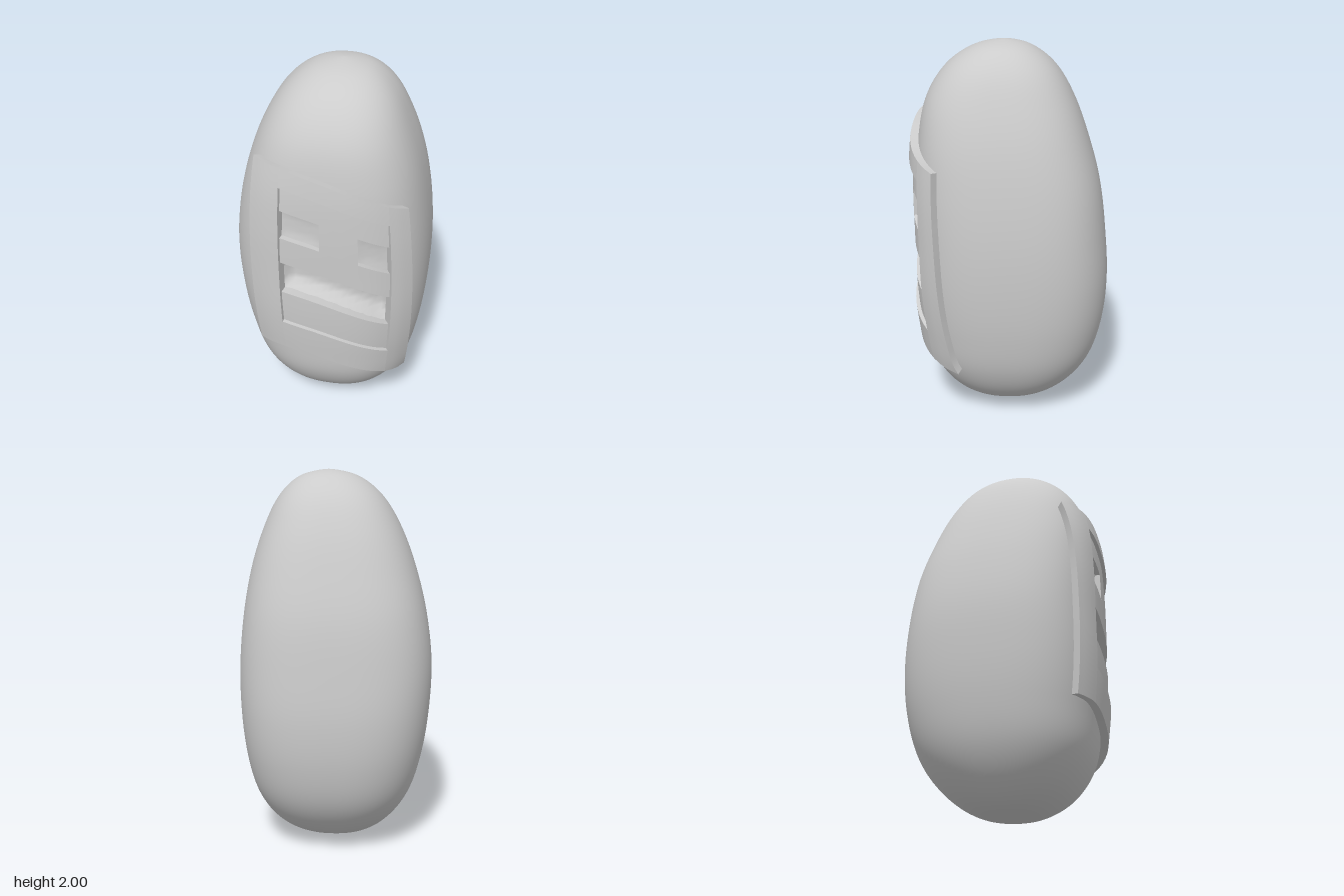
import * as THREE from 'three';
import { mergeGeometries } from 'three/addons/utils/BufferGeometryUtils.js';

const grey = () => new THREE.MeshStandardMaterial({ color: 0xcccccc, side: THREE.DoubleSide });

// Body profiles sampled at 15 degree steps from bottom to top: [left, right] in x and [back, front] in z
const sideProfile = new THREE.SplineCurve([
  [0, 0], [-0.18, 0.19], [-0.31, 0.335], [-0.41, 0.43], [-0.47, 0.48], [-0.505, 0.505], [-0.515, 0.508],
  [-0.485, 0.487], [-0.425, 0.445], [-0.345, 0.38], [-0.245, 0.3], [-0.115, 0.19], [0.04, 0.04],
].map(([a, b]) => new THREE.Vector2(a, b)));
const depthProfile = new THREE.SplineCurve([
  [0.035, 0.035], [-0.165, 0.195], [-0.325, 0.335], [-0.445, 0.43], [-0.507, 0.465], [-0.527, 0.485], [-0.51, 0.488],
  [-0.475, 0.49], [-0.408, 0.478], [-0.33, 0.435], [-0.235, 0.335], [-0.11, 0.19], [0.03, 0.03],
].map(([a, b]) => new THREE.Vector2(a, b)));

// Rounded-square cross-section at polar angle phi
function section(phi) {
  const s = sideProfile.getPoint(phi / Math.PI), d = depthProfile.getPoint(phi / Math.PI);
  return {
    cx: (s.x + s.y) / 2, a: (s.y - s.x) / 2,
    cz: (d.x + d.y) / 2, b: (d.y - d.x) / 2,
    n: 2 + 0.8 * Math.sin(phi),
  };
}

// Front surface depth at (x, y)
function frontZ(x, y) {
  const { cx, a, cz, b, n } = section(Math.acos(THREE.MathUtils.clamp(1 - y, -1, 1)));
  const u = Math.min(0.999, Math.abs((x - cx) / a));
  return cz + b * Math.pow(1 - Math.pow(u, n), 1 / n);
}

// The face slants down towards +x
const slant = (x) => {
  const d = Math.max(0, x + 0.19);
  return -0.15 * d - 0.36 * d * d;
};

// Hollow for the mouth, shallow ones for the eyes
function hollow(x, y) {
  const t = y - slant(x), ss = THREE.MathUtils.smoothstep;
  const bump = (v, lo, hi, e) => ss(v, lo - e, lo + e) * (1 - ss(v, hi - e, hi + e));
  const mouth = 0.08 * bump(t, 0.895, 1.06, 0.035) * bump(x, -0.19, 0.345, 0.03);
  const eyes = 0.015 * bump(t, 1.22, 1.375, 0.03) * (bump(x, -0.19, 0.01, 0.03) + bump(x, 0.2, 0.345, 0.03));
  return mouth + eyes;
}

function bodyGeometry() {
  const rows = 110, cols = 96, pos = [], index = [];
  for (let i = 0; i <= rows; i++) {
    const phi = (i / rows) * Math.PI, y = 1 - Math.cos(phi);
    const { cx, a, cz, b, n } = section(phi);
    for (let j = 0; j < cols; j++) {
      const th = (j / cols) * Math.PI * 2, s = Math.sin(th), c = Math.cos(th);
      const r = Math.pow(Math.abs(s) ** n + Math.abs(c) ** n, -1 / n);
      const x = cx + a * r * s;
      pos.push(x, y, cz + b * r * c - (c > 0 ? hollow(x, y) : 0));
      if (i < rows) {
        const k = (j + 1) % cols, p = i * cols, q = p + cols;
        index.push(p + j, p + k, q + k, p + j, q + k, q + j);
      }
    }
  }
  const g = new THREE.BufferGeometry();
  g.setAttribute('position', new THREE.Float32BufferAttribute(pos, 3));
  g.setIndex(index);
  g.computeVertexNormals();
  return g;
}

// Slab bent over the front of the body; h0..h1 is its height above the surface
function slab(x0, x1, t0, t1, h0, h1) {
  const nx = Math.ceil((x1 - x0) / 0.03), ny = Math.ceil((t1 - t0) / 0.04);
  const g = new THREE.BoxGeometry(1, 1, 1, nx, ny, 1), p = g.attributes.position, e = 0.01;
  const normal = new THREE.Vector3();
  for (let i = 0; i < p.count; i++) {
    const t = THREE.MathUtils.lerp(t0, t1, p.getY(i) + 0.5);
    const x = THREE.MathUtils.lerp(x0, x1, p.getX(i) + 0.5) * (1 - 0.09 * ((t - 1.05) / 0.55) ** 2);
    const h = p.getZ(i) > 0 ? h1 : h0, y = t + slant(x);
    normal.set(
      (frontZ(x - e, y) - frontZ(x + e, y)) / (2 * e),
      (frontZ(x, y - e) - frontZ(x, y + e)) / (2 * e), 1).normalize();
    p.setXYZ(i, x + normal.x * h, y + normal.y * h, frontZ(x, y) + normal.z * h);
  }
  g.computeVertexNormals();
  return g;
}

export function createModel() {
  const group = new THREE.Group();
  const add = (name, geometry) => {
    const mesh = new THREE.Mesh(geometry, grey());
    mesh.name = name;
    group.add(mesh);
  };

  add('body', bodyGeometry());

  // Raised border around the face
  const L = -0.335, R = 0.43, l = -0.19, r = 0.345, H = 0.042;
  add('faceFrame', mergeGeometries([
    slab(L, l, 0.52, 1.6, -0.02, H),
    slab(r, R, 0.52, 1.6, -0.02, H),
    slab(l, r, 1.505, 1.6, -0.02, H),
    slab(l, r, 0.52, 0.7, -0.02, H),
  ]));

  // Sunken face plate, left open at the eyes and mouth
  const F = 0.022;
  add('facePlate', mergeGeometries([
    slab(l, r, 1.375, 1.505, -0.02, F),
    slab(0.01, 0.2, 1.22, 1.375, -0.02, F),
    slab(l, r, 1.07, 1.22, -0.05, F),
    slab(l, r, 0.7, 0.885, -0.05, F),
  ]));

  return group;
}
